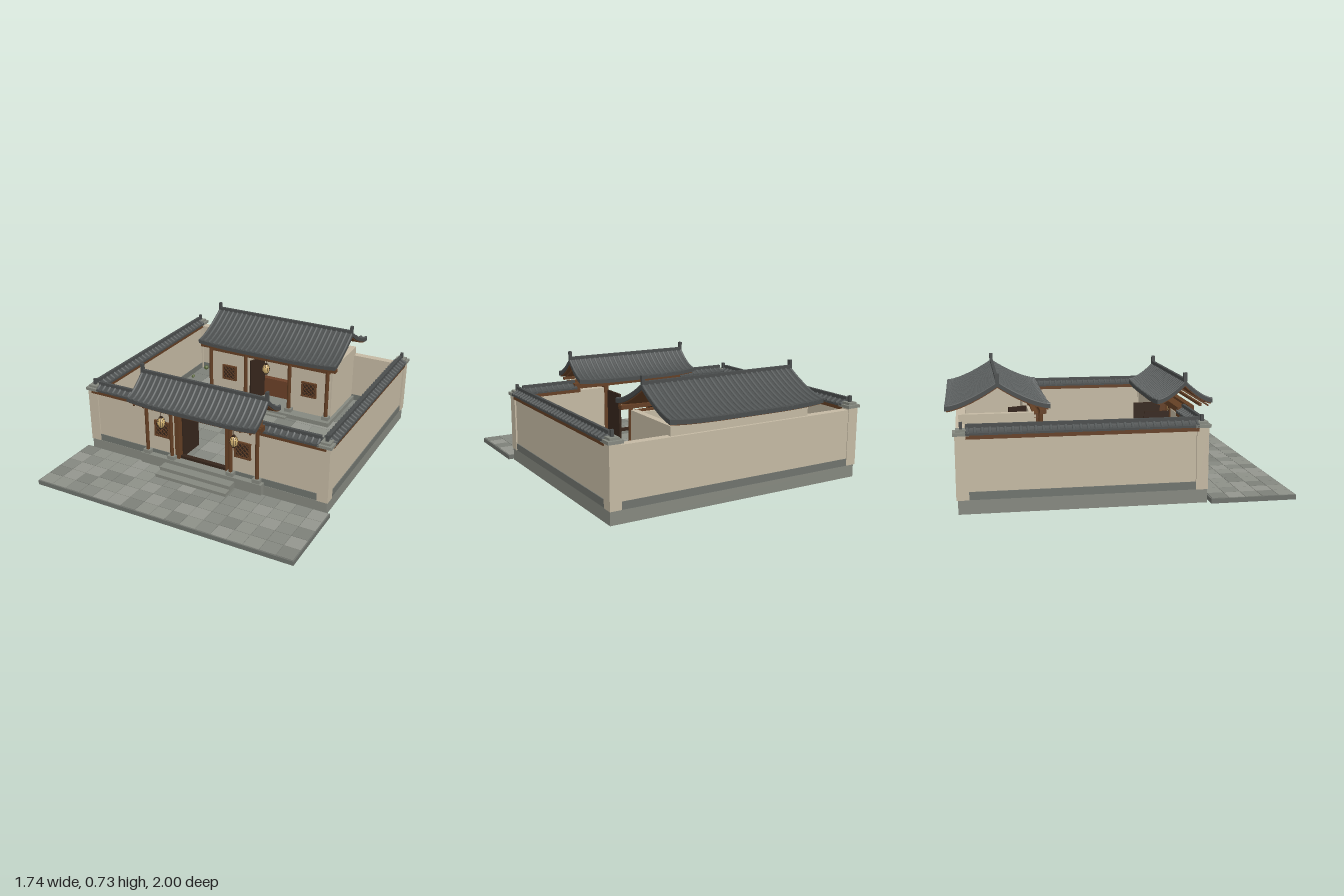
import * as THREE from 'three';
import { mergeGeometries } from 'three/addons/utils/BufferGeometryUtils.js';

const mat = (color, flatShading = false) => new THREE.MeshStandardMaterial({ color, flatShading, roughness: 0.9 });
const M = {
  plaster: mat(0xc4b9a3), stone: mat(0x85887f), darkStone: mat(0x6f736d), tile: mat(0x4a4d4d),
  rib: mat(0x555959), wood: mat(0x643f24), darkWood: mat(0x35251b), panel: mat(0x6b4028),
  lantern: mat(0xd0b070, true), leaf: mat(0x5a683c, true),
  paving: [0x7d8079, 0x858880, 0x8d9088, 0x94968e].map((c) => mat(c)),
};

function add(parent, name, geo, material, x = 0, y = 0, z = 0) {
  const m = new THREE.Mesh(geo, material);
  m.name = name;
  m.position.set(x, y, z);
  parent.add(m);
  return m;
}
// Box resting on height y
const box = (p, name, material, w, h, d, x, y, z) =>
  add(p, name, new THREE.BoxGeometry(w, h, d), material, x, y + h / 2, z);

function group(parent, name, x = 0, y = 0, z = 0) {
  const g = new THREE.Group();
  g.name = name;
  g.position.set(x, y, z);
  parent.add(g);
  return g;
}
function seeded(seed) {
  return () => (seed = (seed * 16807) % 2147483647) / 2147483647;
}

// Two curved, ribbed slopes falling away from a ridge along x
function tiledRoof(parent, name, o) {
  const { w, depth, rise, t, lift = 0, step, r, lining = true } = o;
  const g = group(parent, name, o.x ?? 0, o.y, o.z ?? 0);
  const bend = (geo) => {
    const p = geo.attributes.position;
    for (let i = 0; i < p.count; i++) {
      const s = p.getZ(i) / depth, e = Math.abs(p.getX(i)) / (w / 2);
      p.setY(i, p.getY(i) + rise * Math.pow(Math.max(0, 1 - s), 1.35) + lift * s * s * Math.pow(e, 4));
    }
    geo.computeVertexNormals();
    return geo;
  };
  const slab = bend(new THREE.BoxGeometry(w, t, depth, 20, 1, 8).translate(0, -t / 2, depth / 2));
  const under = bend(new THREE.BoxGeometry(w * 0.98, t * 0.3, depth * 0.96, 20, 1, 8).translate(0, -t * 1.15, depth * 0.48));
  const ribs = [], n = Math.round(w / step);
  for (let i = 0; i <= n; i++) {
    const x = -w / 2 + r + ((w - 2 * r) * i) / n;
    ribs.push(bend(new THREE.CylinderGeometry(r, r, depth, 7, 8).rotateX(Math.PI / 2).translate(x, 0, depth / 2)));
  }
  const ribGeo = mergeGeometries(ribs);
  for (const turn of [0, Math.PI]) {
    const slope = group(g, 'slope');
    slope.rotation.y = turn;
    add(slope, 'tileBed', slab, M.tile);
    add(slope, 'tileRibs', ribGeo, M.rib);
    if (lining) add(slope, 'lining', under, M.wood);
  }
  box(g, 'ridge', M.tile, w, r * 2.4, r * 2, 0, rise - r * 0.4, 0);
  return g;
}

function lantern(parent, x, y, z) {
  const g = group(parent, 'lantern', x, y, z);
  add(g, 'shade', new THREE.SphereGeometry(0.025, 10, 8).scale(1, 1.45, 1), M.lantern);
  for (let i = 0; i < 5; i++) {
    const rib = add(g, 'shadeRib', new THREE.TorusGeometry(0.0255, 0.001, 4, 20), M.darkWood);
    rib.rotation.y = (i * Math.PI) / 5;
    rib.scale.y = 1.45;
  }
  for (const s of [-1, 1]) add(g, 'cap', new THREE.CylinderGeometry(0.01, 0.01, 0.008, 8), M.darkWood, 0, s * 0.037, 0);
  add(g, 'cord', new THREE.CylinderGeometry(0.002, 0.002, 0.06, 5), M.darkWood, 0, 0.07, 0);
  add(g, 'tassel', new THREE.CylinderGeometry(0.002, 0.004, 0.02, 5), M.panel, 0, -0.05, 0);
}

function latticeWindow(parent, x, y, z) {
  const g = group(parent, 'window', x, y, z), s = 0.1;
  box(g, 'backing', M.darkWood, s, s, 0.006, 0, -s / 2, 0);
  for (const k of [-1, 1]) {
    box(g, 'frameRail', M.wood, s + 0.012, 0.01, 0.016, 0, k * s / 2 - 0.005, 0.002);
    box(g, 'frameStile', M.wood, 0.01, s, 0.016, k * s / 2, -s / 2, 0.002);
    for (let i = -2; i <= 2; i++) {
      const bar = add(g, 'lattice', new THREE.BoxGeometry(0.004, 0.132 - Math.abs(i) * 0.042, 0.005), M.wood);
      bar.position.set(i * 0.015, k * i * 0.015, 0.004);
      bar.rotation.z = k * Math.PI / 4;
    }
  }
}

function column(parent, x, y, z, top, r = 0.012) {
  box(parent, 'columnBase', M.stone, 0.05, 0.025, 0.04, x, y, z);
  add(parent, 'column', new THREE.CylinderGeometry(r, r, top - y - 0.025, 10), M.wood, x, (top + y + 0.025) / 2, z);
}

// Grid of paving slabs in varied greys
function paving(parent, name, x0, x1, z0, z1, y, size, seed) {
  const g = group(parent, name), rnd = seeded(seed);
  const nx = Math.round((x1 - x0) / size), nz = Math.round((z1 - z0) / size);
  const dx = (x1 - x0) / nx, dz = (z1 - z0) / nz, sets = M.paving.map(() => []);
  for (let i = 0; i < nx; i++) for (let j = 0; j < nz; j++) {
    sets[Math.floor(rnd() * 4)].push(new THREE.BoxGeometry(dx - 0.003, 0.006, dz - 0.003)
      .translate(x0 + (i + 0.5) * dx, y, z0 + (j + 0.5) * dz));
  }
  sets.forEach((s, i) => s.length && add(g, 'slabs', mergeGeometries(s), M.paving[i]));
}

export function createModel() {
  const root = new THREE.Group();
  root.name = 'courtyardHouse';

  // Ground
  box(root, 'forecourt', M.darkStone, 1.74, 0.028, 0.51, 0, 0, 0.745);
  paving(root, 'forecourtPaving', -0.865, 0.865, 0.495, 0.995, 0.028, 0.1, 7);
  box(root, 'plinth', M.stone, 1.68, 0.08, 1.405, 0, 0, -0.23);
  paving(root, 'courtPaving', -0.78, 0.78, -0.88, 0.41, 0.082, 0.13, 23);
  const steps = group(root, 'entranceSteps');
  [[0.5, 0.052, 0.625], [0.5, 0.075, 0.572], [0.86, 0.1, 0.51]].forEach(([w, h, z]) =>
    box(steps, 'step', M.stone, w, h, z - 0.42, 0, 0, (z + 0.42) / 2));

  // Perimeter walls
  const walls = group(root, 'perimeterWalls');
  box(walls, 'backWall', M.plaster, 1.6, 0.35, 0.05, 0, 0.08, -0.912);
  box(walls, 'backWallFoot', M.darkStone, 1.6, 0.045, 0.056, 0, 0.08, -0.912);
  for (const s of [-1, 1]) {
    box(walls, 'sideWall', M.plaster, 0.05, 0.35, 1.33, s * 0.81, 0.08, -0.232);
    box(walls, 'sideWallFoot', M.darkStone, 0.06, 0.045, 1.33, s * 0.81, 0.08, -0.232);
    box(walls, 'sideEaveBeam', M.wood, 0.074, 0.022, 1.3, s * 0.81, 0.42, -0.232);
    tiledRoof(walls, 'sideWallRoof', { w: 1.3, depth: 0.045, rise: 0.025, t: 0.012, step: 0.042, r: 0.009, x: s * 0.81, y: 0.455, z: -0.232, lining: false }).rotation.y = Math.PI / 2;
    box(walls, 'frontWall', M.plaster, 0.63, 0.35, 0.05, s * 0.505, 0.08, 0.44);
    box(walls, 'frontWallFoot', M.darkStone, 0.58, 0.045, 0.06, s * 0.5, 0.08, 0.44);
    box(walls, 'frontEaveBeam', M.wood, 0.44, 0.022, 0.074, s * 0.6, 0.42, 0.44);
    tiledRoof(walls, 'frontWallRoof', { w: 0.37, depth: 0.045, rise: 0.025, t: 0.012, step: 0.042, r: 0.009, x: s * 0.59, y: 0.455, z: 0.44, lining: false });
    for (const z of [0.44, -0.906]) {
      const post = group(walls, 'cornerPost', s * 0.81, 0, z);
      box(post, 'shaft', M.plaster, 0.07, 0.36, 0.07, 0, 0.08, 0);
      box(post, 'cap', M.stone, 0.09, 0.018, 0.09, 0, 0.44, 0);
      box(post, 'capTop', M.stone, 0.06, 0.014, 0.06, 0, 0.458, 0);
      box(post, 'finial', M.tile, 0.018, 0.04, 0.018, 0, 0.47, 0);
    }
  }

  // Entrance gate
  const gate = group(root, 'gate');
  box(gate, 'threshold', M.darkWood, 0.35, 0.018, 0.03, 0, 0.1, 0.44);
  box(gate, 'lintel', M.wood, 0.86, 0.035, 0.035, 0, 0.455, 0.485);
  box(gate, 'rearBeam', M.wood, 0.84, 0.035, 0.06, 0, 0.445, 0.43);
  box(gate, 'eaveBeam', M.wood, 0.88, 0.016, 0.016, 0, 0.488, 0.54);
  for (const s of [-1, 1]) {
    column(gate, s * 0.39, 0.1, 0.485, 0.48);
    column(gate, s * 0.21, 0.1, 0.485, 0.48);
    box(gate, 'doorJamb', M.wood, 0.03, 0.37, 0.06, s * 0.18, 0.09, 0.44);
    const leaf = group(gate, 'doorLeaf', s * 0.165, 0, 0.43);
    leaf.rotation.y = s * 0.03;
    box(leaf, 'leafPanel', M.darkWood, 0.016, 0.31, 0.18, 0, 0.1, -0.09);
    latticeWindow(gate, s * 0.285, 0.285, 0.468);
    lantern(gate, s * 0.255, 0.365, 0.525);
  }
  for (let i = 0; i < 13; i++) {
    const rafter = add(gate, 'rafter', new THREE.BoxGeometry(0.01, 0.01, 0.18), M.wood, -0.4 + i * 0.0667, 0.53, 0.525);
    rafter.rotation.x = 0.56;
  }
  const gateRoof = tiledRoof(gate, 'gateRoof', { w: 0.88, depth: 0.172, rise: 0.125, t: 0.025, lift: 0.016, step: 0.037, r: 0.009, y: 0.515, z: 0.443 });
  for (const s of [-1, 1]) box(gateRoof, 'ridgeFinial', M.tile, 0.018, 0.055, 0.022, s * 0.43, 0.125, 0);

  // Main hall
  const hall = group(root, 'mainHall');
  box(hall, 'hallPlinth', M.stone, 0.98, 0.035, 0.5, 0, 0.08, -0.64);
  box(hall, 'hallStep', M.stone, 0.36, 0.018, 0.06, 0, 0.08, -0.39);
  box(hall, 'hallBackWall', M.plaster, 0.94, 0.375, 0.04, 0, 0.11, -0.9);
  box(hall, 'frontBeam', M.wood, 1.03, 0.024, 0.04, 0, 0.484, -0.43);
  box(hall, 'lowerBeam', M.wood, 0.92, 0.03, 0.03, 0, 0.45, -0.47);
  box(hall, 'lowScreen', M.panel, 0.22, 0.135, 0.04, 0, 0.115, -0.62);
  for (const s of [-1, 1]) {
    box(hall, 'hallSideWall', M.plaster, 0.04, 0.375, 0.42, s * 0.45, 0.11, -0.69);
    box(hall, 'hallFrontWall', M.plaster, 0.3, 0.36, 0.035, s * 0.31, 0.11, -0.485);
    column(hall, s * 0.45, 0.115, -0.44, 0.49, 0.013);
    column(hall, s * 0.17, 0.115, -0.44, 0.49, 0.013);
    latticeWindow(hall, s * 0.31, 0.3, -0.463);
    const leaf = group(hall, 'hallDoor', s * 0.15, 0, -0.485);
    leaf.rotation.y = s * 0.4;
    box(leaf, 'leafPanel', M.darkWood, 0.014, 0.3, 0.13, 0, 0.115, -0.06);
  }
  lantern(hall, 0, 0.41, -0.42);
  const hallRoof = tiledRoof(hall, 'hallRoof', { w: 1.04, depth: 0.305, rise: 0.15, t: 0.025, lift: 0.016, step: 0.037, r: 0.009, y: 0.525, z: -0.693 });
  for (const s of [-1, 1]) box(hallRoof, 'ridgeFinial', M.tile, 0.018, 0.055, 0.022, s * 0.51, 0.145, 0);

  // Benches and planting along the side walls
  const rnd = seeded(91);
  const spots = { '-1': [-0.87, -0.68, -0.58, -0.41, -0.35, -0.23, -0.2, -0.07, 0, 0.16, 0.2, 0.35], 1: [-0.86, -0.72, -0.64, -0.6, -0.55, -0.48, -0.38, -0.19, -0.12, 0.16, 0.24, 0.33] };
  for (const s of [-1, 1]) {
    box(root, 'benchSeat', M.stone, 0.06, 0.016, 0.24, s * 0.655, 0.115, -0.21);
    for (const z of [-0.29, -0.13]) box(root, 'benchLeg', M.stone, 0.045, 0.035, 0.03, s * 0.655, 0.08, z);
    for (const z of spots[s]) for (let k = 0; k < 2; k++) {
      const r = 0.008 + rnd() * 0.013;
      add(root, 'shrub', new THREE.IcosahedronGeometry(r, 1), M.leaf, s * (0.72 + rnd() * 0.035), 0.083 + r * 0.8, z + (rnd() - 0.5) * 0.03);
    }
  }
  return root;
}
